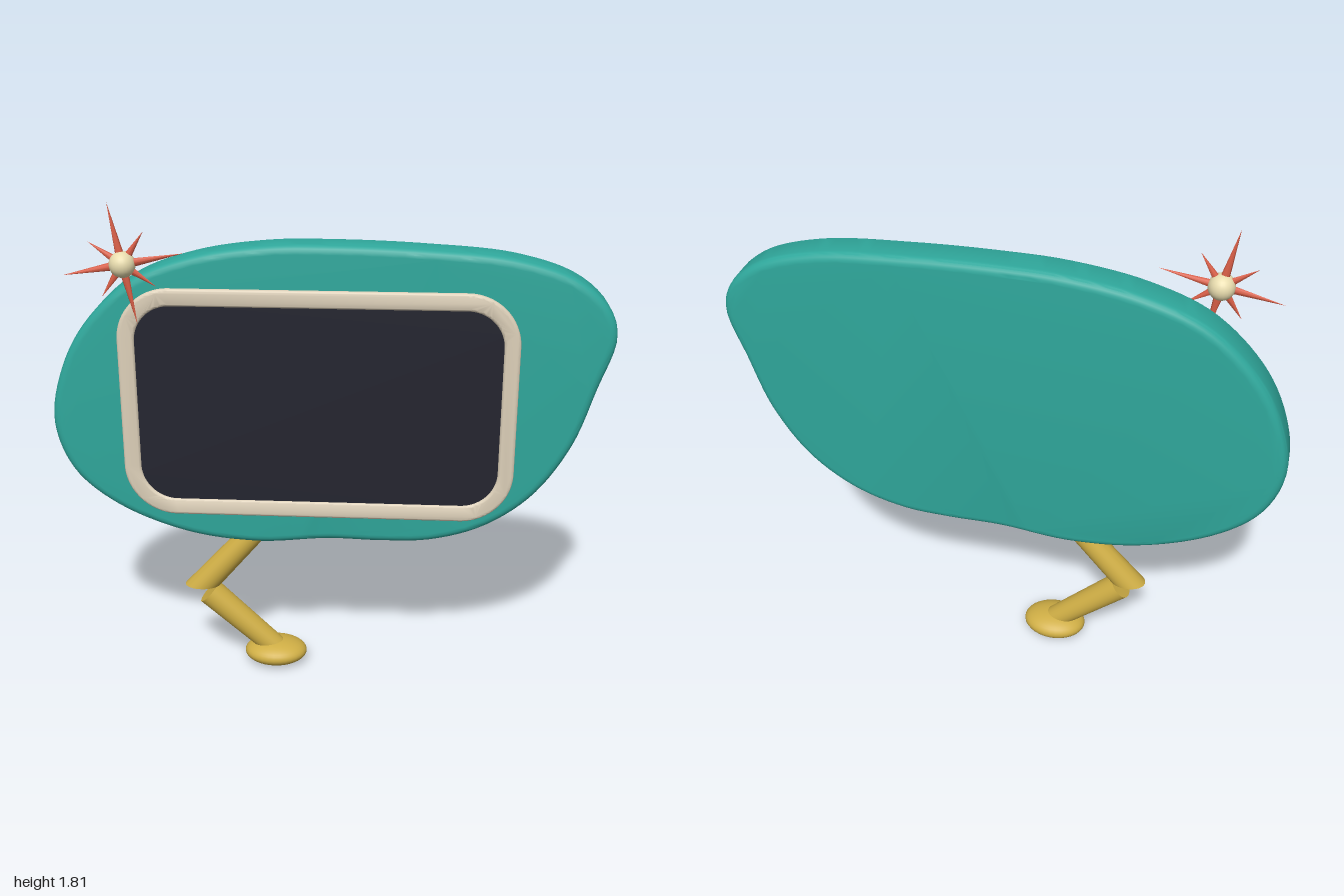
import * as THREE from 'three';
import { toCreasedNormals } from 'three/addons/utils/BufferGeometryUtils.js';

const mat = (color) => new THREE.MeshStandardMaterial({ color });
const teal = mat(0x2fa79b), cream = mat(0xdccfb8), dark = mat(0x23242f);
const gold = mat(0xcfae45), coral = mat(0xdc6048), ivory = mat(0xe8dcae);

function add(parent, name, geometry, material) {
  const mesh = new THREE.Mesh(geometry, material);
  mesh.name = name;
  parent.add(mesh);
  return mesh;
}

// Rounded rectangle from its edges
function roundedRect(x0, x1, y0, y1, r, Type = THREE.Shape) {
  const s = new Type();
  s.absarc(x1 - r, y1 - r, r, 0, Math.PI / 2);
  s.absarc(x0 + r, y1 - r, r, Math.PI / 2, Math.PI);
  s.absarc(x0 + r, y0 + r, r, Math.PI, Math.PI * 1.5);
  s.absarc(x1 - r, y0 + r, r, Math.PI * 1.5, Math.PI * 2);
  s.closePath();
  return s;
}

// Extrusion between two z values with edges rounded inside the outline
function slab(shape, z0, z1, bevel, curveSegments = 16) {
  const g = new THREE.ExtrudeGeometry(shape, {
    depth: z1 - z0 - 2 * bevel, curveSegments, bevelEnabled: bevel > 0,
    bevelThickness: bevel, bevelSize: bevel, bevelOffset: -bevel, bevelSegments: 5,
  });
  g.translate(0, 0, z0 + bevel);
  return toCreasedNormals(g, 0.6);
}

// Tapered limb between two points
function limb(a, b, ra, rb) {
  const dir = b.clone().sub(a);
  const g = new THREE.CylinderGeometry(rb, ra, dir.length(), 32);
  g.applyQuaternion(new THREE.Quaternion().setFromUnitVectors(new THREE.Vector3(0, 1, 0), dir.normalize()));
  const mid = a.clone().add(b).multiplyScalar(0.5);
  return g.translate(mid.x, mid.y, mid.z);
}

export function createModel() {
  const model = new THREE.Group();
  model.name = 'signOnLeg';

  // Lopsided pebble body
  const outline = [
    [-1, 1], [-0.965, 1.19], [-0.87, 1.37], [-0.69, 1.54], [-0.47, 1.625], [-0.21, 1.665],
    [0, 1.67], [0.33, 1.66], [0.65, 1.63], [0.86, 1.56], [0.97, 1.46], [1, 1.36],
    [0.945, 1.17], [0.87, 0.95], [0.74, 0.755], [0.57, 0.63], [0.38, 0.57], [0.2, 0.56],
    [0, 0.563], [-0.26, 0.543], [-0.53, 0.577], [-0.79, 0.685], [-0.94, 0.82],
  ].map(([x, y]) => new THREE.Vector3(x, y, 0));
  const curve = new THREE.CatmullRomCurve3(outline, true);
  const pts = curve.getSpacedPoints(140).slice(0, -1).map((p) => new THREE.Vector2(p.x, p.y));
  add(model, 'body', slab(new THREE.Shape(pts.reverse()), -0.102, 0.04, 0.03), teal);

  // Screen and its raised surround
  const surround = roundedRect(-0.745, 0.67, 0.66, 1.515, 0.19);
  surround.holes.push(roundedRect(-0.682, 0.612, 0.723, 1.452, 0.13, THREE.Path));
  add(model, 'screenSurround', slab(surround, 0.025, 0.055, 0.012), cream);
  add(model, 'screen', slab(roundedRect(-0.7, 0.63, 0.705, 1.47, 0.14), 0.03, 0.046, 0), dark);

  // Bent leg
  const leg = new THREE.Group();
  leg.name = 'leg';
  model.add(leg);
  const z = -0.023, kneeY = 0.335;
  const knee = new THREE.Vector3(-0.485, kneeY, z);
  const hip = new THREE.Vector3(-0.205, 0.65, z);
  const thigh = limb(knee, hip, 0.051, 0.042);
  // Slide the knee end along the thigh so it is cut level
  const p = thigh.attributes.position;
  const slope = (hip.x - knee.x) / (hip.y - knee.y);
  for (let i = 0; i < p.count; i++) {
    if (p.getY(i) > 0.45) continue;
    p.setX(i, p.getX(i) + (kneeY - p.getY(i)) * slope);
    p.setY(i, kneeY);
  }
  add(leg, 'thigh', toCreasedNormals(thigh.toNonIndexed(), 0.6), gold);
  add(leg, 'shin', limb(new THREE.Vector3(-0.2, 0.06, z), new THREE.Vector3(-0.46, 0.302, z), 0.043, 0.052), gold);
  const foot = add(leg, 'foot', new THREE.SphereGeometry(1, 32, 20), gold);
  foot.scale.set(0.12, 0.048, 0.095);
  foot.position.set(-0.207, 0.053, z);

  // Starburst: alternating long and short spikes round a ball
  const star = new THREE.Group();
  star.name = 'starburst';
  star.position.set(-0.7, 1.605, 0.076);
  model.add(star);
  add(star, 'starBall', new THREE.SphereGeometry(0.046, 24, 16), ivory);
  for (let i = 0; i < 8; i++) {
    const length = i % 2 ? 0.138 : 0.214;
    const cone = new THREE.ConeGeometry(0.018, length, 8).translate(0, length / 2, 0).scale(1, 1, 0.7);
    add(star, 'starSpike', cone, coral).rotation.z = THREE.MathUtils.degToRad(11 + i * 45);
  }
  return model;
}
